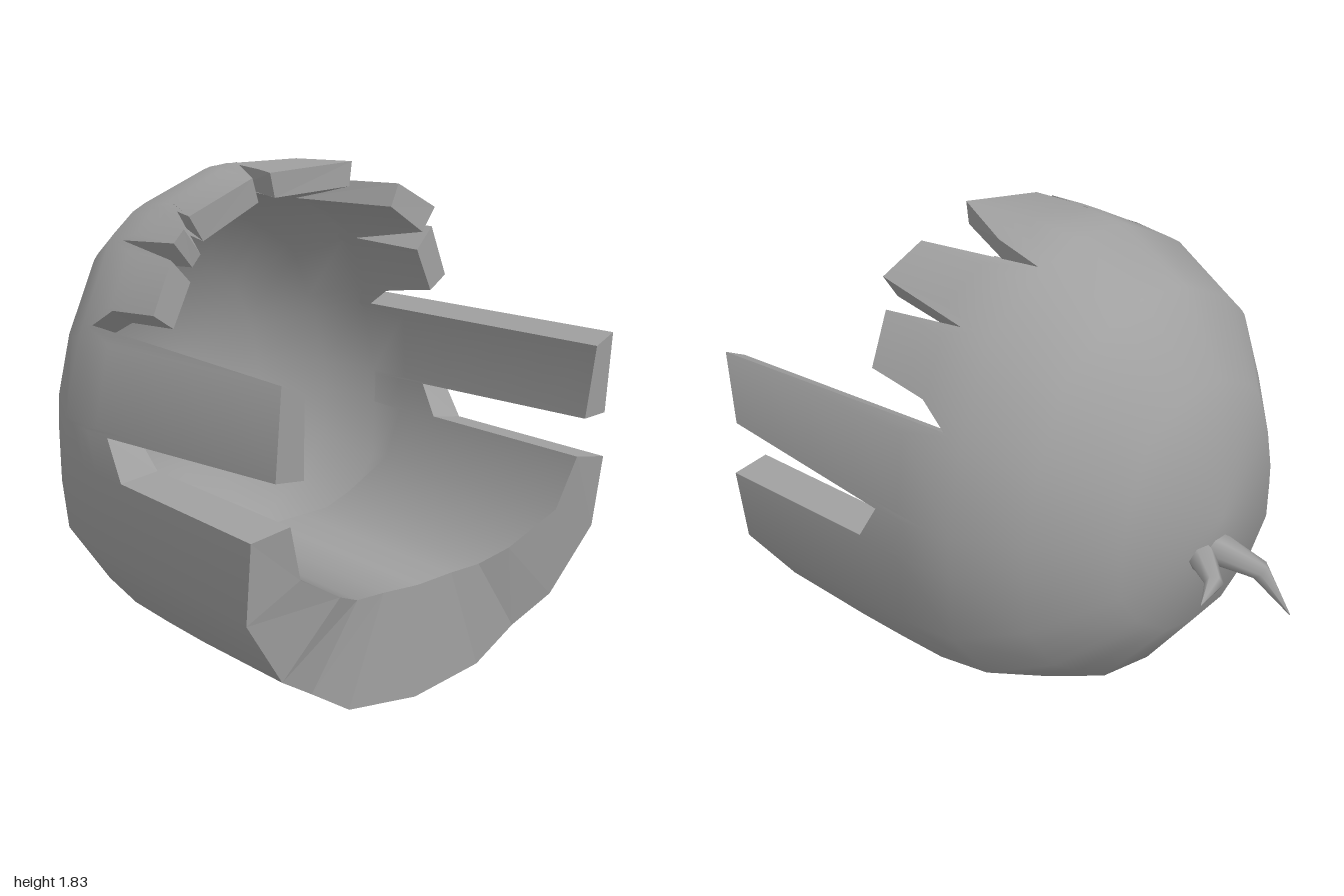
import * as THREE from 'three';
import { mergeVertices } from 'three/addons/utils/BufferGeometryUtils.js';

const CY = 0.92; // height of the shell's axis
const DEG = Math.PI / 180;

// Half cross-sections (x, y), bottom to top
const OUTER = [[0, 0], [0.3, 0.05], [0.62, 0.28], [0.785, 0.53], [0.79, 0.8], [0.785, 0.95], [0.72, 1.24],
  [0.67, 1.36], [0.58, 1.58], [0.52, 1.66], [0.3, 1.78], [0.12, 1.84], [0, 1.845]];
const INNER = [[0, 0.455], [0.28, 0.47], [0.57, 0.6], [0.64, 0.8], [0.67, 0.94], [0.64, 1.2],
  [0.58, 1.34], [0.49, 1.53], [0.44, 1.59], [0.27, 1.7], [0.1, 1.755], [0, 1.76]];

// Rounded back: [z, scale of the outer section]; the lining is thin here
const OUTER_RINGS = [[-0.82, 0], [-0.7, 0.5], [-0.48, 0.8], [-0.2, 0.97]];
const INNER_RINGS = [[-0.76, 0], [-0.65, 0.47], [-0.45, 0.745], [-0.2, 0.9]];

// Lower jaw, slot and side strap: [angle at base, angle at rim, rim z, rim scale]
const SIDE = [[-71, -71, 0.82], [-58, -58, 0.83], [-46, -46, 0.87], [-26.4, -26.4, 0.91], [-8.7, -8.7, 0.94],
  [-8, -8, 0.22], [2, 2, 0.13], [2.5, 4.5, 0.98, 0.94], [24, 25.5, 1, 1.02], [28, 28, -0.12]];
// Jagged teeth over the brow, from the left strap to the right one
const TEETH = [[31, 34, 0], [32, 36, 0.25], [48, 49, 0.25], [51, 51, -0.08], [53, 55.5, 0.33],
  [66, 67.5, 0.31], [71, 71, -0.18], [74, 74, 0.03], [83, 83, 0.32], [96, 103.6, 0.28], [98, 98.5, -0.02],
  [100, 107, 0.25], [118, 123.5, 0.21], [119.5, 119.5, 0.03], [122, 127, 0.24], [129, 130.5, 0.23],
  [131, 131, -0.1], [133, 134, 0.25], [147, 146.5, 0.25], [148, 147.5, 0]];
const COLUMNS = [[-90, -90, 0.82], ...SIDE, ...TEETH,
  ...SIDE.slice().reverse().map(([b, r, z, s]) => [180 - b, 180 - r, z, s])];

// Distance from the axis to a half section at an angle, mirrored across x = 0
function radiusAt(section, angle) {
  const a = (angle > 90 ? 180 - angle : angle) * DEG;
  const i = Math.max(1, section.findIndex(([x, y]) => Math.atan2(y - CY, x) >= a - 1e-6));
  const [x0, y0] = section[i - 1], [x1, y1] = section[i];
  const ex = x1 - x0, ey = y1 - y0;
  return (x0 * ey - (y0 - CY) * ex) / (Math.cos(a) * ey - Math.sin(a) * ex);
}

function shellPoint(section, angle, z, scale) {
  const r = radiusAt(section, angle) * scale;
  const c = Math.cos(angle * DEG), s = Math.sin(angle * DEG);
  // the keel is lowest at z = 0.35 and lifts toward both ends
  const lift = section === OUTER && s < 0 && z > -0.3 ? 0.1 * Math.abs(z - 0.35) * s ** 4 : 0;
  // the back is slightly askew: its pole sits up and to the left
  const shift = z < -0.2 ? 1 - scale : 0;
  const skew = z < -0.2 ? 0.07 * r * c : 0;
  return [r * c + 0.08 * shift, CY + r * s + lift + 0.05 * shift, z + skew];
}

// Rings from the back pole to the jagged rim
function shellRows(section, rings) {
  const rows = rings.map(([z, s]) => COLUMNS.map(([base]) => shellPoint(OUTER, base, z, s)));
  const steps = 5;
  for (let k = 1; k <= steps; k++) {
    const t = k / steps;
    rows.push(COLUMNS.map(([base, rim, rimZ, rimScale = 1]) => {
      const z = -0.2 + (rimZ + 0.2) * t;
      const s = z < 0 ? 1 + 0.15 * z : 1;
      return shellPoint(section, base + (rim - base) * t, z, s * (1 + (rimScale - 1) * t));
    }));
  }
  return rows;
}

// Closed-ring surface through rows of points
function loft(rows, flip = false) {
  const n = rows[0].length, index = [];
  for (let j = 0; j < rows.length - 1; j++) {
    for (let i = 0; i < n; i++) {
      const a = j * n + i, b = j * n + (i + 1) % n, c = b + n, d = a + n;
      if (flip) index.push(a, c, b, a, d, c);
      else index.push(a, b, c, a, c, d);
    }
  }
  const geo = new THREE.BufferGeometry();
  geo.setAttribute('position', new THREE.Float32BufferAttribute(rows.flat(2), 3));
  geo.setIndex(index);
  return geo;
}

// Even, dome-like shading for the shell; sign is -1 for the lining
function domeNormals(geo, sign) {
  const pos = geo.attributes.position, normals = [];
  for (let i = 0; i < pos.count; i++) {
    const n = new THREE.Vector3(pos.getX(i) / 0.79 ** 2, (pos.getY(i) - CY) / 0.92 ** 2,
      Math.min(pos.getZ(i), 0) / 0.82 ** 2);
    normals.push(...n.normalize().multiplyScalar(sign).toArray());
  }
  geo.setAttribute('normal', new THREE.Float32BufferAttribute(normals, 3));
  return geo;
}

function flatNormals(geo) {
  const flat = geo.toNonIndexed();
  flat.computeVertexNormals();
  return flat;
}

// Tapered, bent tie end: stations are [x, y, z, radius]
function tieGeometry(stations, sides = 6) {
  const pts = stations.map(([x, y, z]) => new THREE.Vector3(x, y, z));
  const rows = stations.map((st, j) => {
    const dir = pts[Math.min(j + 1, pts.length - 1)].clone().sub(pts[Math.max(j - 1, 0)]).normalize();
    const u = new THREE.Vector3(0, 1, 0).cross(dir).normalize();
    const v = dir.clone().cross(u);
    return Array.from({ length: sides }, (_, i) => {
      const a = i / sides * Math.PI * 2;
      return pts[j].clone().addScaledVector(u, Math.cos(a) * st[3]).addScaledVector(v, Math.sin(a) * st[3]).toArray();
    });
  });
  const geo = mergeVertices(loft(rows), 1e-4);
  geo.computeVertexNormals();
  return geo;
}

export function createModel() {
  const group = new THREE.Group();
  const grey = new THREE.MeshStandardMaterial({ color: 0xa0a0a0 });
  const greyDouble = new THREE.MeshStandardMaterial({ color: 0xa0a0a0, side: THREE.DoubleSide });
  const add = (name, geometry, material = grey) => {
    const mesh = new THREE.Mesh(geometry, material);
    mesh.name = name;
    group.add(mesh);
  };

  // Shell: outside, lining and the edge joining them
  const outer = shellRows(OUTER, OUTER_RINGS);
  const inner = shellRows(INNER, INNER_RINGS);
  add('outerShell', domeNormals(loft(outer), 1));
  add('innerLining', domeNormals(loft(inner, true), -1));
  add('jaggedRim', flatNormals(loft([outer[outer.length - 1], inner[inner.length - 1]])), greyDouble);

  // Two tie ends at the back
  add('rightTie', tieGeometry([[0.06, 0.82, -0.73, 0.06], [0.05, 0.82, -0.81, 0.055], [0, 0.77, -0.93, 0.036],
    [-0.11, 0.56, -1, 0.002]]), greyDouble);
  add('leftTie', tieGeometry([[0.11, 0.82, -0.72, 0.055], [0.14, 0.82, -0.79, 0.05], [0.21, 0.8, -0.885, 0.032],
    [0.33, 0.79, -0.92, 0.002]]), greyDouble);
  return group;
}
